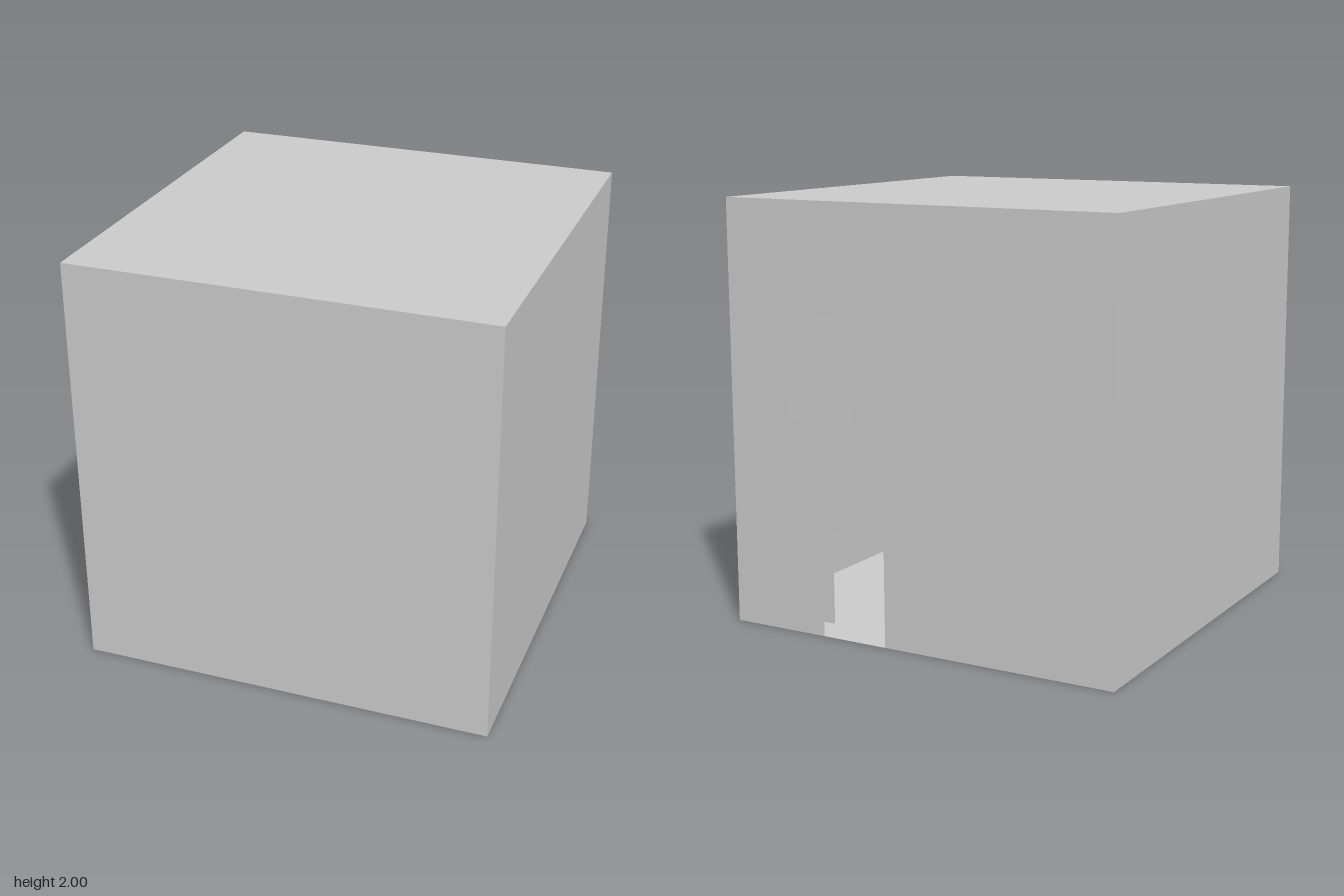
import * as THREE from 'three';

const W = 1.97, H = 2, D = 1.98;
const material = new THREE.MeshStandardMaterial({ color: 0xcccccc, side: THREE.DoubleSide });

function addPanel(parent, name, geometry, position, rotation) {
  const mesh = new THREE.Mesh(geometry, material);
  mesh.name = name;
  mesh.position.set(...position);
  mesh.rotation.set(...rotation);
  parent.add(mesh);
}

// Wall with a doorway notch and two windows; local x runs towards -x of the house
function openWallGeometry() {
  const w = W / 2, h = H / 2;
  const doorLeft = -0.493, doorRight = -0.16, doorTop = -0.5;
  const shape = new THREE.Shape([
    [-w, -h], [doorLeft, -h], [doorLeft, doorTop], [doorRight, doorTop],
    [doorRight, -h], [w, -h], [w, h], [-w, h],
  ].map(([x, y]) => new THREE.Vector2(x, y)));
  for (const [x0, x1] of [[-0.734, -0.328], [0.164, 0.497]]) {
    shape.holes.push(new THREE.Path([
      [x0, 0], [x0, 0.5], [x1, 0.5], [x1, 0],
    ].map(([x, y]) => new THREE.Vector2(x, y))));
  }
  return new THREE.ShapeGeometry(shape);
}

// Thin-walled box, centred on its own middle
function createShell(name) {
  const shell = new THREE.Group();
  shell.name = name;
  const q = Math.PI / 2;
  addPanel(shell, 'frontWall', new THREE.PlaneGeometry(W, H), [0, 0, D / 2], [0, 0, 0]);
  addPanel(shell, 'backWall', openWallGeometry(), [0, 0, -D / 2], [0, Math.PI, 0]);
  for (const [side, s] of [['left', 1], ['right', -1]]) {
    addPanel(shell, side + 'Wall', new THREE.PlaneGeometry(D, H), [s * W / 2, 0, 0], [0, s * q, 0]);
  }
  addPanel(shell, 'roof', new THREE.PlaneGeometry(W, D), [0, H / 2, 0], [-q, 0, 0]);
  addPanel(shell, 'floor', new THREE.PlaneGeometry(W, D), [0, -H / 2, 0], [q, 0, 0]);
  shell.position.y = H / 2;
  return shell;
}

export function createModel() {
  const house = new THREE.Group();
  house.name = 'house';
  house.add(createShell('outerShell'));
  // Interior lining: the same shell, slightly smaller
  const lining = createShell('innerShell');
  lining.scale.setScalar(0.95);
  house.add(lining);
  return house;
}
